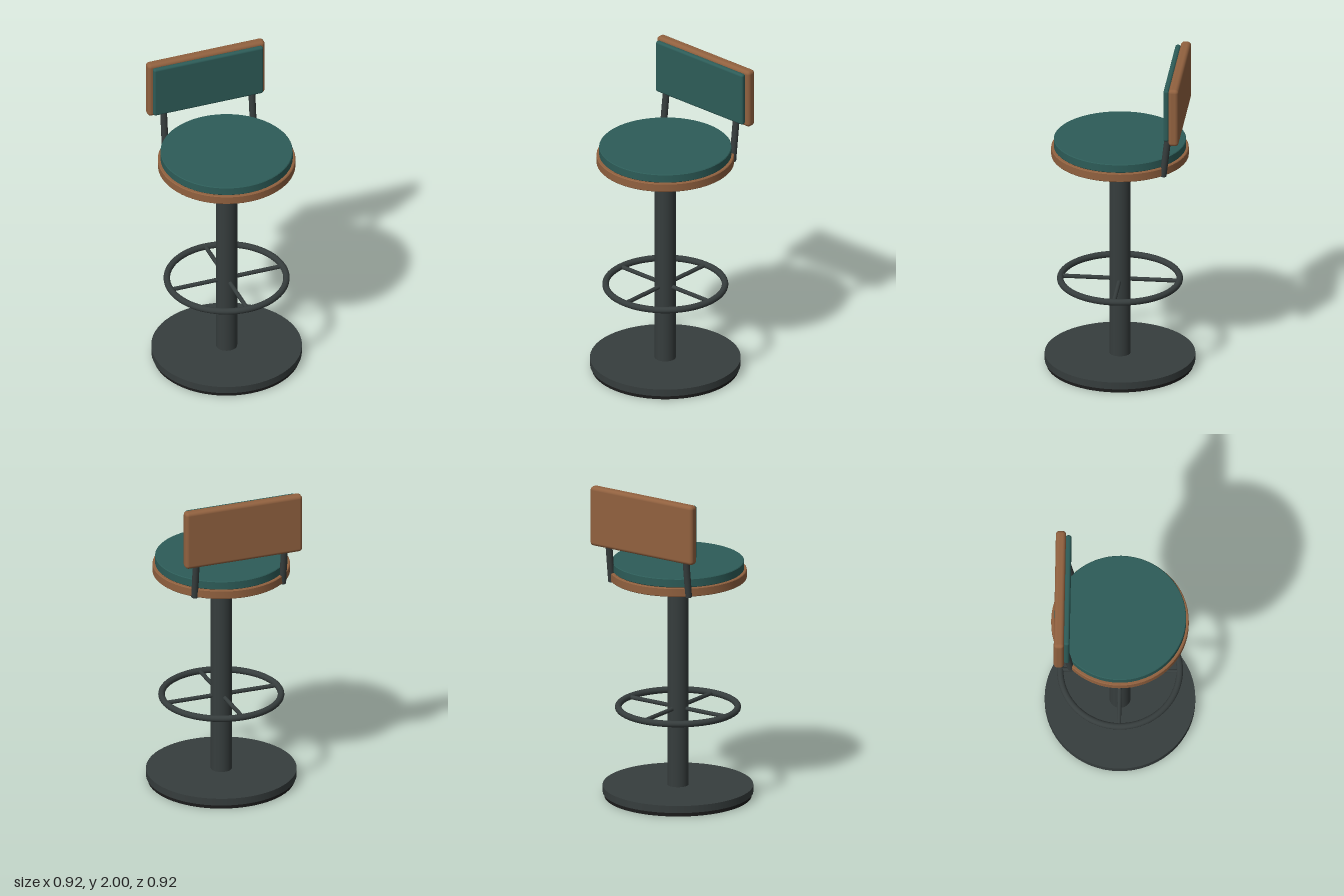
import * as THREE from 'three';
import { RoundedBoxGeometry } from 'three/addons/geometries/RoundedBoxGeometry.js';
import { toCreasedNormals } from 'three/addons/utils/BufferGeometryUtils.js';

const material = (name, color) => {
  const m = new THREE.MeshStandardMaterial({ color });
  m.name = name;
  return m;
};

export function createModel() {
  const metal = material('darkMetal', 0x363d3d);
  const rubber = material('blackRubber', 0x1c1c1c);
  const wood = material('wood', 0x91613f);
  const fabric = material('tealFabric', 0x2d5c58);
  const model = new THREE.Group();
  model.name = 'barStool';

  const add = (name, geometry, mat, x = 0, y = 0, z = 0) => {
    const mesh = new THREE.Mesh(geometry, mat);
    mesh.name = name;
    mesh.position.set(x, y, z);
    model.add(mesh);
    return mesh;
  };

  // Round slab from y0 to y1 with softened rims
  const disc = (name, r, y0, y1, bevel, mat) => {
    const profile = [
      [0, y0], [r - bevel, y0], [r, y0 + bevel],
      [r, y1 - bevel], [r - bevel, y1], [0, y1],
    ].map(([x, y]) => new THREE.Vector2(x, y));
    add(name, toCreasedNormals(new THREE.LatheGeometry(profile, 64), 0.5), mat);
  };

  // Straight round bar between two points
  const bar = (name, a, b, r, mat) => {
    const dir = b.clone().sub(a);
    const mesh = add(name, new THREE.CylinderGeometry(r, r, dir.length(), 20), mat);
    mesh.position.copy(a).add(b).multiplyScalar(0.5);
    mesh.quaternion.setFromUnitVectors(new THREE.Vector3(0, 1, 0), dir.normalize());
  };

  // Base and column
  add('floorPad', new THREE.CylinderGeometry(0.45, 0.45, 0.025, 64), rubber, 0, 0.0125);
  add('base', new THREE.CylinderGeometry(0.46, 0.46, 0.045, 64), metal, 0, 0.0475);
  add('column', new THREE.CylinderGeometry(0.065, 0.065, 1.295, 40), metal, 0, 0.7125);
  add('mountingPlate', new THREE.CylinderGeometry(0.1, 0.1, 0.02, 40), metal, 0, 1.365);

  // Footrest ring with four spokes
  const footY = 0.564;
  add('footRing', new THREE.TorusGeometry(0.365, 0.02, 16, 72), metal, 0, footY).rotation.x = Math.PI / 2;
  for (let i = 0; i < 4; i++) {
    const angle = (i * Math.PI) / 2;
    const at = (r) => new THREE.Vector3(Math.cos(angle) * r, footY, Math.sin(angle) * r);
    bar('footSpoke', at(0.04), at(0.36), 0.013, metal);
  }

  // Seat
  disc('seatBoard', 0.42, 1.39, 1.445, 0.004, wood);
  disc('seatCushion', 0.404, 1.445, 1.5, 0.004, fabric);

  // Backrest posts lean slightly backwards
  for (const side of [1, -1]) {
    bar(side > 0 ? 'leftBackPost' : 'rightBackPost',
      new THREE.Vector3(side * 0.288, 1.388, -0.295),
      new THREE.Vector3(side * 0.288, 1.66, -0.327), 0.021, metal);
  }

  // Backrest board and pad
  add('backBoard', new RoundedBoxGeometry(0.764, 0.376, 0.062, 4, 0.022), wood, 0, 1.812, -0.367);
  add('backPad', new RoundedBoxGeometry(0.716, 0.34, 0.034, 4, 0.014), fabric, 0, 1.815, -0.32);

  return model;
}
